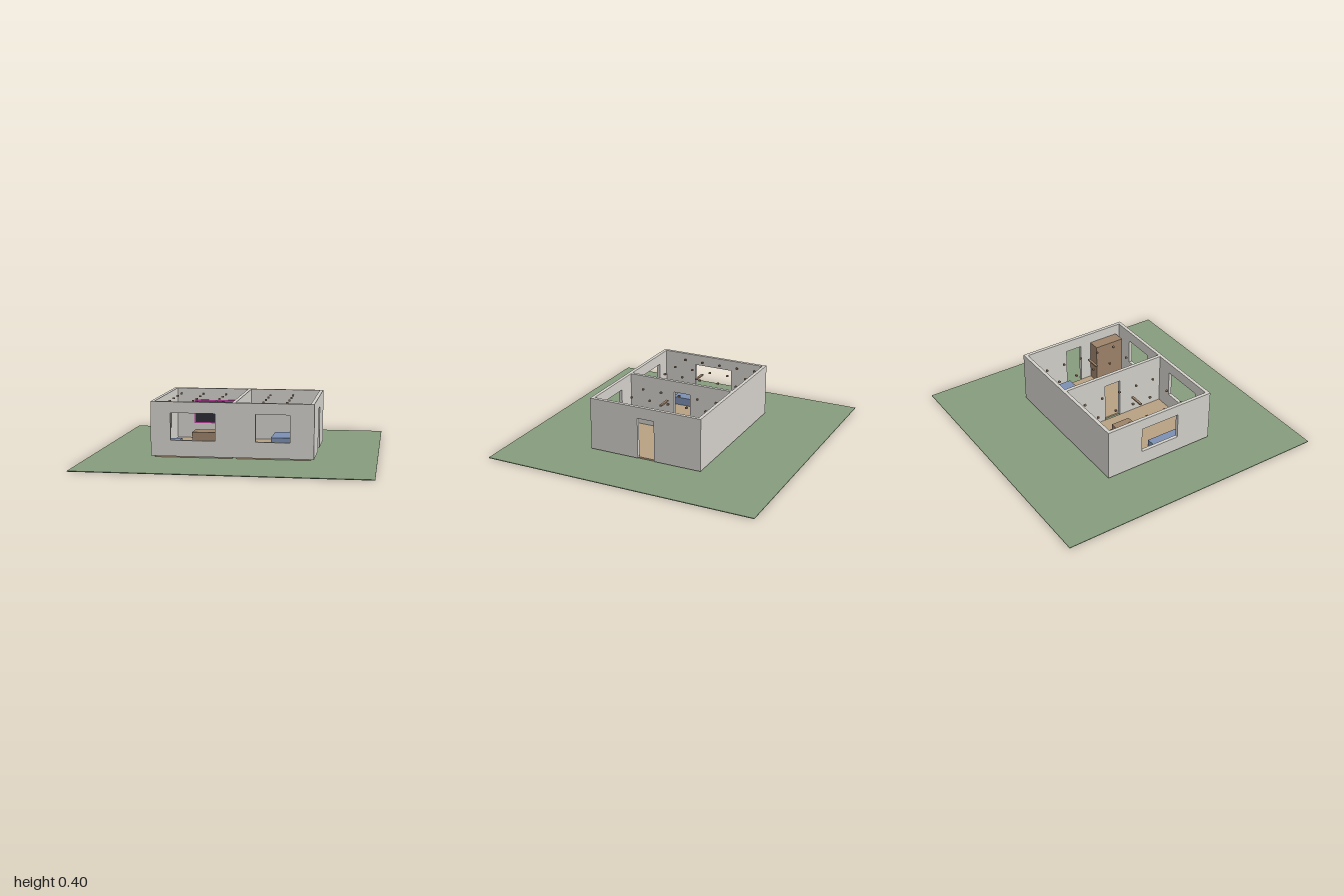
import * as THREE from 'three';

const mat = (color) => new THREE.MeshStandardMaterial({ color });

export function createModel() {
  const model = new THREE.Group();
  model.name = 'house';
  const wallMat = mat(0xd2cfc9), grass = mat(0x869b7c), wood = mat(0xb8a083);
  const blue = mat(0x7b8fb2), brown = mat(0x9c8269), dark = mat(0x2c2c34), pink = mat(0xc23fa5);

  // Box given by its lower and upper limits on each axis
  const box = (name, material, [x0, x1], [y0, y1], [z0, z1], parent = model) => {
    const mesh = new THREE.Mesh(new THREE.BoxGeometry(x1 - x0, y1 - y0, z1 - z0), material);
    mesh.position.set((x0 + x1) / 2, (y0 + y1) / 2, (z0 + z1) / 2);
    mesh.name = name;
    parent.add(mesh);
    return mesh;
  };

  const BASE = 0.016, TOP = 0.398, X0 = -0.57, X1 = 0.57, Z0 = -0.425, Z1 = 0.425, T = 0.025;

  // Upright wall panel from a to b, with windows as holes and an optional door notch
  const wallGeometry = (a, b, windows, door) => {
    const s = new THREE.Shape();
    s.moveTo(a, BASE);
    if (door) {
      s.lineTo(door[0], BASE);
      s.lineTo(door[0], 0.315);
      s.lineTo(door[1], 0.315);
      s.lineTo(door[1], BASE);
    }
    s.lineTo(b, BASE);
    s.lineTo(b, TOP);
    s.lineTo(a, TOP);
    s.closePath();
    for (const [l, r] of windows) {
      const h = new THREE.Path();
      h.moveTo(l, 0.128);
      h.lineTo(l, 0.32);
      h.lineTo(r, 0.32);
      h.lineTo(r, 0.128);
      h.closePath();
      s.holes.push(h);
    }
    return new THREE.ExtrudeGeometry(s, { depth: T, bevelEnabled: false });
  };
  // Wall facing the front, starting at depth z
  const wallAlongX = (name, z, windows) => {
    const mesh = new THREE.Mesh(wallGeometry(X0, X1, windows), wallMat);
    mesh.position.z = z;
    mesh.name = name;
    model.add(mesh);
  };
  // Wall running front to back, starting at x; openings are given in z
  const wallAlongZ = (name, x, windows, door) => {
    const flip = ([l, r]) => [-r, -l];
    const geo = wallGeometry(-Z1 + T, -Z0 - T, windows.map(flip), door && flip(door));
    geo.rotateY(Math.PI / 2);
    const mesh = new THREE.Mesh(geo, wallMat);
    mesh.position.x = x;
    mesh.name = name;
    model.add(mesh);
  };

  // Lawn and room floors
  box('lawn', grass, [-1, 1], [0, 0.005], [-1, 1]);
  box('rightRoomFloor', wood, [-0.545, 0.001], [0.005, BASE], [-0.4, 0.4]);
  box('leftRoomFloor', wood, [0.026, 0.545], [0.005, BASE], [-0.4, 0.4]);

  // Walls
  wallAlongX('frontWall', Z1 - T, [[-0.43, -0.115], [0.165, 0.403]]);
  wallAlongX('backWall', Z0, []);
  wallAlongZ('leftWall', X1 - T, [], [-0.072, 0.055]);
  wallAlongZ('rightWall', X0, [[-0.15, 0.15]]);
  wallAlongZ('dividingWall', 0.001, [], [-0.08, 0.047]);

  // Furniture
  box('bed', blue, [0.214, 0.5], [BASE, 0.08], [-0.36, -0.077]);
  box('sofa', blue, [-0.513, -0.43], [BASE, 0.075], [0, 0.283]);
  box('table', brown, [-0.358, -0.186], [BASE, 0.12], [-0.146, -0.002]);
  box('wardrobe', brown, [0.455, 0.543], [BASE, 0.322], [0.138, 0.368]);

  // Wall screen with coloured surround
  const screen = new THREE.Group();
  screen.name = 'wallScreen';
  model.add(screen);
  box('screenSurround', pink, [-0.415, -0.1], [0.13, 0.31], [-0.4, -0.391], screen);
  box('screenPanel', dark, [-0.404, -0.111], [0.138, 0.298], [-0.395, -0.388], screen);

  // Ceiling lamp bars and rows of small spotlights
  for (const x of [-0.288, 0.284]) {
    box('lampBar', brown, [x - 0.054, x + 0.054], [0.328, 0.338], [-0.013, 0.004]);
  }
  for (const x of [-0.507, -0.336, -0.165, 0.177, 0.348]) {
    for (let i = 0; i < 5; i++) {
      const z = -0.355 + i * 0.1435;
      box('spotlight', brown, [x - 0.007, x + 0.007], [0.353, 0.365], [z - 0.007, z + 0.007]);
    }
  }
  return model;
}
